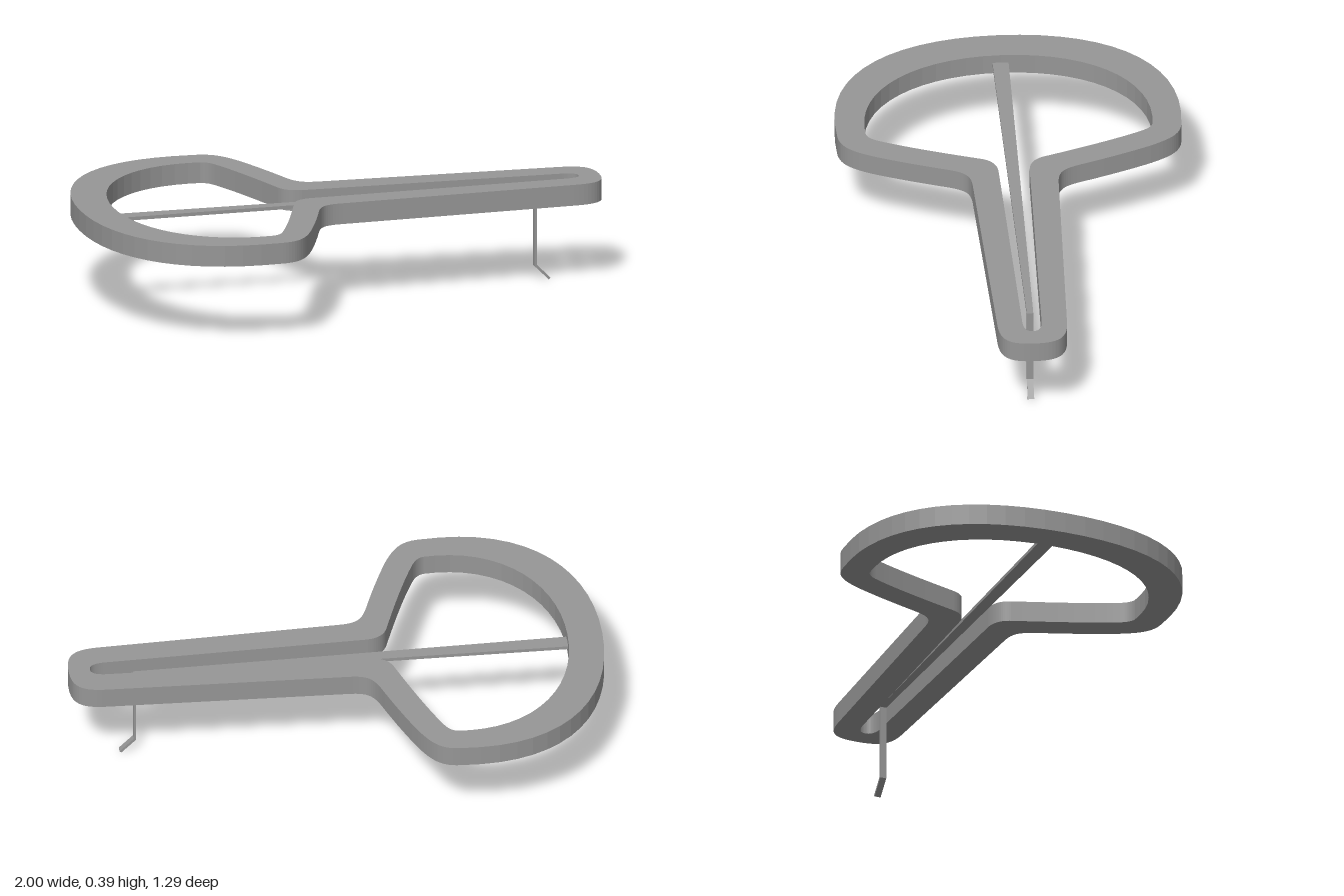
import * as THREE from 'three';

const steel = new THREE.MeshStandardMaterial({ color: 0x969696 });
steel.name = 'steel';

// Samples half an outline (z >= 0) and mirrors it into a closed clockwise loop.
function mirroredLoop(half) {
  const pts = half.getPoints(14);
  const back = pts.slice(1, -1).reverse().map(p => new THREE.Vector2(p.x, -p.y));
  return [...pts, ...back];
}

// Extrudes a shape drawn in x,z downward from the given top height.
function plate(shape, top, depth) {
  return new THREE.ExtrudeGeometry(shape, { depth, bevelEnabled: false })
    .rotateX(Math.PI / 2).translate(0, top, 0);
}

function addPart(group, name, geometry) {
  const mesh = new THREE.Mesh(geometry, steel);
  mesh.name = name;
  group.add(mesh);
}

export function createModel() {
  const model = new THREE.Group();
  model.name = 'mouthHarp';

  // Frame: round bow narrowing into two long parallel arms
  const outer = new THREE.Path();
  outer.moveTo(-1, 0);
  outer.bezierCurveTo(-1, 0.39, -0.81, 0.645, -0.47, 0.645);
  outer.lineTo(-0.39, 0.642);
  outer.bezierCurveTo(-0.32, 0.638, -0.29, 0.60, -0.25, 0.52);
  outer.quadraticCurveTo(-0.2, 0.41, -0.145, 0.25);
  outer.bezierCurveTo(-0.12, 0.18, -0.10, 0.162, -0.03, 0.16);
  outer.lineTo(0.87, 0.13);
  outer.bezierCurveTo(0.97, 0.127, 1, 0.095, 1, 0);

  const inner = new THREE.Path();
  inner.moveTo(-0.87, 0);
  inner.bezierCurveTo(-0.87, 0.315, -0.695, 0.537, -0.44, 0.537);
  inner.lineTo(-0.395, 0.535);
  inner.quadraticCurveTo(-0.365, 0.53, -0.345, 0.485);
  inner.quadraticCurveTo(-0.29, 0.37, -0.205, 0.115);
  inner.quadraticCurveTo(-0.185, 0.06, -0.12, 0.058);
  inner.lineTo(0.86, 0.036);
  inner.quadraticCurveTo(0.92, 0.034, 0.92, 0);

  const frame = new THREE.Shape(mirroredLoop(outer));
  frame.holes.push(new THREE.Path(mirroredLoop(inner).reverse()));
  addPart(model, 'frame', plate(frame, 0.391, 0.08));

  // Reed: tapering tongue at mid height of the frame
  const reed = new THREE.Shape([
    [-0.875, -0.03], [0.757, -0.012], [0.757, 0.012], [-0.875, 0.03],
  ].map(([x, z]) => new THREE.Vector2(x, z)));
  addPart(model, 'reed', plate(reed, 0.358, 0.013));

  // Trigger: thin strip hanging from the reed tip, kicked outward at its end
  const strip = new THREE.Shape([
    [0.748, 0.35], [0.748, 0.055], [0.803, 0], [0.81, 0.006], [0.757, 0.059], [0.757, 0.35],
  ].map(([x, y]) => new THREE.Vector2(x, y)));
  addPart(model, 'trigger',
    new THREE.ExtrudeGeometry(strip, { depth: 0.024, bevelEnabled: false }).translate(0, 0, -0.012));

  return model;
}
